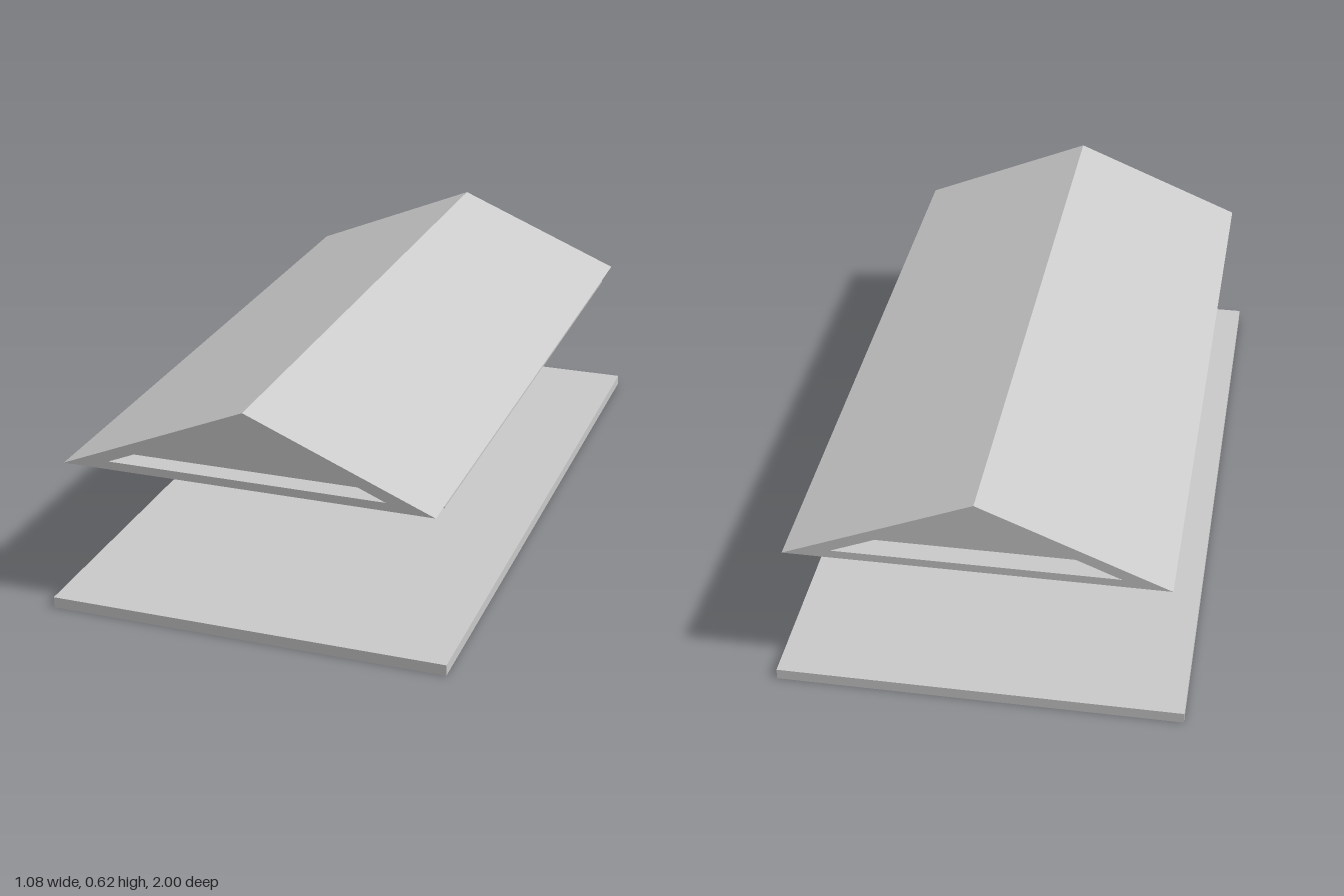
import * as THREE from 'three';

export function createModel() {
  const model = new THREE.Group();
  const material = new THREE.MeshStandardMaterial({ color: 0xcccccc, flatShading: true });
  const panelMaterial = material.clone();
  panelMaterial.side = THREE.DoubleSide;

  const add = (name, geometry, x, y, z, mat = material) => {
    const mesh = new THREE.Mesh(geometry, mat);
    mesh.name = name;
    mesh.position.set(x, y, z);
    model.add(mesh);
  };
  const triangle = (left, right, bottom, top) => [
    new THREE.Vector2(left, bottom),
    new THREE.Vector2(right, bottom),
    new THREE.Vector2((left + right) / 2, top),
  ];

  // Floor slab and the ceiling slab under the roof
  add('base', new THREE.BoxGeometry(1.08, 0.03, 2), 0, 0.015, 0);
  add('ceiling', new THREE.BoxGeometry(0.98, 0.02, 1.764), 0.003, 0.408, -0.002);

  // Gabled roof with a triangular opening through its ends
  const zFront = 0.98, zBack = -0.985, recess = 0.06;
  const opening = triangle(-0.368, 0.374, 0.44, 0.595);
  const gable = new THREE.Shape(triangle(-0.495, 0.501, 0.418, 0.625));
  gable.holes.push(new THREE.Path(opening));
  const roof = new THREE.ExtrudeGeometry(gable, { depth: zFront - zBack, bevelEnabled: false });
  add('roof', roof, 0, 0, zBack);

  // Recessed panels closing the opening at both ends
  const panel = new THREE.ShapeGeometry(new THREE.Shape(opening));
  add('frontPediment', panel, 0, 0, zFront - recess, panelMaterial);
  add('backPediment', panel, 0, 0, zBack + recess, panelMaterial);

  return model;
}
